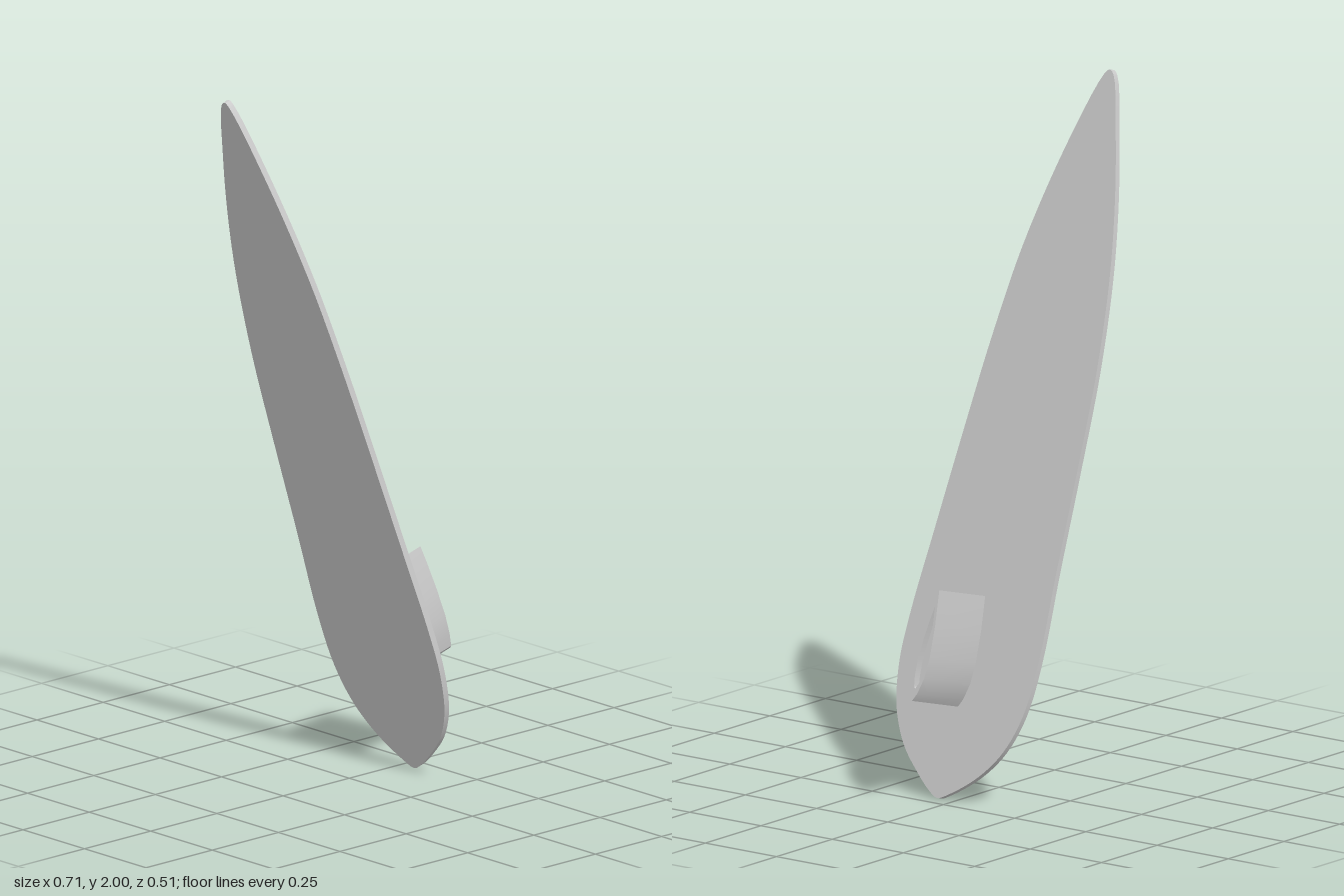
import * as THREE from 'three';
import { toCreasedNormals } from 'three/addons/utils/BufferGeometryUtils.js';

const TILT = Math.atan2(0.555, 2);
const material = new THREE.MeshStandardMaterial({ color: 0xcccccc });

// Points are [z, distance along the tilted board]; x is the board's normal.
const toVectors = (points) => points.map(([z, v]) => new THREE.Vector2(-z, v));

function slab(name, shape, from, to, crease) {
  const geometry = new THREE.ExtrudeGeometry(shape, { depth: to - from, bevelEnabled: false });
  geometry.translate(0, 0, from).rotateY(Math.PI / 2);
  const mesh = new THREE.Mesh(toCreasedNormals(geometry, crease), material);
  mesh.name = name;
  return mesh;
}

export function createModel() {
  const model = new THREE.Group();
  model.name = 'board';

  // Board outline, heights given upright and stretched onto the slope
  const outline = [
    [0.05, 0.003], [0.08, 0.018], [0.13, 0.06], [0.193, 0.127], [0.238, 0.22], [0.255, 0.34],
    [0.246, 0.47], [0.21, 0.71], [0.165, 1.0], [0.125, 1.24], [0.07, 1.5], [-0.02, 1.78],
    [-0.109, 1.985], [-0.125, 1.998], [-0.141, 1.985], [-0.182, 1.83], [-0.218, 1.65],
    [-0.243, 1.45], [-0.252, 1.2], [-0.242, 0.92], [-0.229, 0.65], [-0.22, 0.41],
    [-0.197, 0.26], [-0.15, 0.155], [-0.08, 0.078], [0.015, 0.016],
  ].map(([z, y]) => [z, y / Math.cos(TILT)]);
  const curve = new THREE.CatmullRomCurve3(
    toVectors(outline).map((p) => new THREE.Vector3(p.x, p.y, 0)), true);
  const boardShape = new THREE.Shape(
    curve.getPoints(130).slice(0, -1).map((p) => new THREE.Vector2(p.x, p.y)));
  model.add(slab('deck', boardShape, -0.009, 0.009, 0.6));

  // Foil-shaped fin with a shallow hollow in its end
  const foil = [
    [0, 0.577], [0.012, 0.53], [0.029, 0.45], [0.041, 0.37], [0.042, 0.31], [0.037, 0.27],
    [0.03, 0.262], [0.016, 0.285], [0.001, 0.33], [-0.006, 0.39], [-0.006, 0.48],
  ];
  const inner = foil.map(([z, v]) => [0.017 + (z - 0.017) * 0.7, 0.4 + (v - 0.4) * 0.75]);
  const finShape = new THREE.Shape(toVectors(foil));
  finShape.holes.push(new THREE.Path(toVectors(inner)));
  model.add(slab('fin', finShape, 0.005, 0.223, 0.5));
  model.add(slab('finCore', new THREE.Shape(toVectors(inner)), 0.005, 0.2, 0.5));

  // Lean the whole board toward -x
  model.rotation.z = TILT;
  model.position.set(0.208, 0, 0);
  const root = new THREE.Group();
  root.name = 'leaningBoard';
  root.add(model);
  return root;
}
